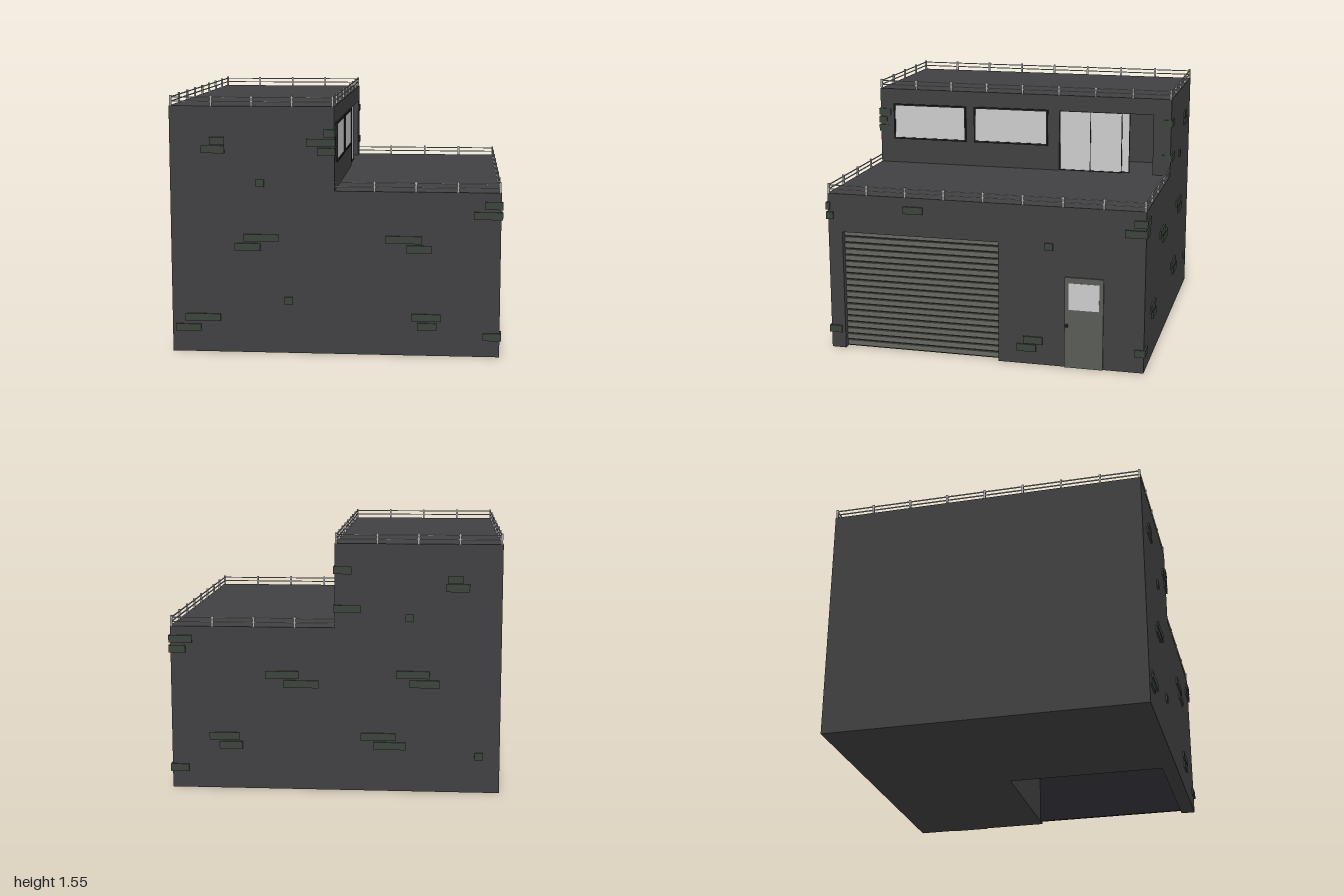
import * as THREE from 'three';

const mat = (color) => new THREE.MeshStandardMaterial({ color });
const M = {
  wall: mat(0x404042), brick: mat(0x3c443c), slat: mat(0x65675f), door: mat(0x595b57),
  dark: mat(0x202024), glass: mat(0xcccccc), rail: mat(0xaaaaaa),
};
const D = 0.985; // half depth of the building
const WX = 0.97, UX = -0.015; // right faces of the lower and upper storeys

// Box given by its min and max on each axis
function box(parent, name, m, x0, x1, y0, y1, z0, z1) {
  const mesh = new THREE.Mesh(new THREE.BoxGeometry(x1 - x0, y1 - y0, z1 - z0), m);
  mesh.position.set((x0 + x1) / 2, (y0 + y1) / 2, (z0 + z1) / 2);
  mesh.name = name;
  parent.add(mesh);
  return mesh;
}

// Storey with a notch cut in from its +x side, closed by a solid slab above the notch
function storey(parent, name, xMax, y0, yNotch, y1, notchX, zA, zB) {
  const plan = [[-1, D], [xMax, D], [xMax, zB], [notchX, zB], [notchX, zA], [xMax, zA], [xMax, -D], [-1, -D]];
  const shape = new THREE.Shape(plan.map(([x, z]) => new THREE.Vector2(x, -z)));
  const geo = new THREE.ExtrudeGeometry(shape, { depth: yNotch - y0, bevelEnabled: false });
  geo.rotateX(-Math.PI / 2).translate(0, y0, 0);
  const mesh = new THREE.Mesh(geo, M.wall);
  mesh.name = name + 'Walls';
  parent.add(mesh);
  box(parent, name + 'Roof', M.wall, -1, xMax, yNotch, y1, -D, D);
}

// Straight railing with posts and two bars
function railing(parent, name, x0, z0, x1, z1, base, bays) {
  const g = new THREE.Group();
  g.name = name;
  for (let i = 0; i <= bays; i++) {
    const x = x0 + (x1 - x0) * i / bays, z = z0 + (z1 - z0) * i / bays;
    box(g, 'post', M.rail, x - 0.006, x + 0.006, base, base + 0.062, z - 0.006, z + 0.006);
  }
  const r = 0.003;
  for (const y of [base + 0.026, base + 0.051]) {
    box(g, 'bar', M.rail, Math.min(x0, x1) - r, Math.max(x0, x1) + r, y - r, y + r,
      Math.min(z0, z1) - r, Math.max(z0, z1) + r);
  }
  parent.add(g);
}

// Rectangular frame with a pane, lying in the plane of the +x wall
function pane(parent, name, x0, x1, y0, y1, z0, z1, t) {
  const g = new THREE.Group();
  g.name = name;
  box(g, 'frameTop', M.dark, x0, x1, y1 - t, y1, z0, z1);
  box(g, 'frameBottom', M.dark, x0, x1, y0, y0 + t, z0, z1);
  box(g, 'frameBackSide', M.dark, x0, x1, y0, y1, z0, z0 + t);
  box(g, 'frameFrontSide', M.dark, x0, x1, y0, y1, z1 - t, z1);
  box(g, 'glass', M.glass, x0, x1 - 0.006, y0 + t, y1 - t, z0 + t, z1 - t);
  parent.add(g);
}

export function createModel() {
  const model = new THREE.Group();
  model.name = 'building';

  // Lower storey with an open garage bay, upper storey with a doorway recess
  storey(model, 'lower', WX, 0, 0.75, 0.99, 0.06, -0.095, 0.895);
  storey(model, 'upper', UX, 0.99, 1.385, 1.49, -0.4, -0.87, -0.25);

  // Roller door of horizontal slats
  const roller = new THREE.Group();
  roller.name = 'garageDoor';
  box(roller, 'backing', M.dark, 0.905, 0.92, 0, 0.75, -0.095, 0.895);
  const n = 19, step = 0.75 / n;
  for (let i = 0; i < n; i++) {
    box(roller, 'slat', M.slat, 0.915, 0.932, i * step + 0.008, (i + 1) * step - 0.001, -0.095, 0.895);
  }
  model.add(roller);

  // Entrance door with window and knob
  const entry = new THREE.Group();
  entry.name = 'entranceDoor';
  box(entry, 'leaf', M.door, WX - 0.01, 0.98, 0, 0.565, -0.74, -0.505);
  box(entry, 'window', M.glass, WX, 0.982, 0.365, 0.53, -0.715, -0.53);
  const stem = new THREE.Mesh(new THREE.CylinderGeometry(0.005, 0.005, 0.016, 10), M.dark);
  stem.rotation.z = Math.PI / 2;
  stem.position.set(0.985, 0.268, -0.52);
  stem.name = 'knobStem';
  const knob = new THREE.Mesh(new THREE.SphereGeometry(0.011, 14, 10), M.dark);
  knob.scale.x = 0.7;
  knob.position.set(0.992, 0.268, -0.52);
  knob.name = 'knob';
  entry.add(stem, knob);
  model.add(entry);

  // Upper windows and sliding glass panels
  pane(model, 'frontWindow', UX - 0.01, -0.003, 1.152, 1.39, 0.385, 0.89, 0.011);
  pane(model, 'backWindow', UX - 0.01, -0.003, 1.152, 1.39, -0.175, 0.33, 0.011);
  pane(model, 'fixedPanel', -0.04, -0.028, 0.99, 1.385, -0.457, -0.25, 0.004);
  pane(model, 'middlePanel', -0.04, -0.028, 0.99, 1.385, -0.664, -0.453, 0.004);
  pane(model, 'slidPanel', -0.058, -0.046, 0.99, 1.385, -0.712, -0.5, 0.004);

  // Roof railings
  const e = 0.978;
  for (const s of [1, -1]) {
    const side = s > 0 ? 'front' : 'back';
    railing(model, side + 'UpperRailing', -0.99, s * e, -0.025, s * e, 1.49, 4);
    railing(model, side + 'LowerRailing', -0.025, s * e, 0.962, s * e, 0.99, 4);
  }
  railing(model, 'outerUpperRailing', -0.99, e, -0.99, -e, 1.49, 8);
  railing(model, 'innerUpperRailing', -0.025, e, -0.025, -e, 1.49, 8);
  railing(model, 'lowerSideRailing', 0.962, e, 0.962, -e, 0.99, 8);

  // Raised bricks: [start, end, bottom] along each wall
  const bricks = new THREE.Group();
  bricks.name = 'bricks';
  const H = 0.045, P = 0.01;
  const front = [
    [-0.76, -0.67, 1.26], [-0.81, -0.67, 1.21], [-0.18, UX, 1.255], [-0.115, UX, 1.2],
    [-0.08, UX, 1.31], [-0.485, -0.435, 1.01], [-0.56, -0.35, 0.68], [-0.615, -0.46, 0.625],
    [0.29, 0.505, 0.68], [0.415, 0.565, 0.625], [0.875, WX, 0.89], [0.81, WX, 0.83],
    [-0.315, -0.265, 0.3], [-0.92, -0.705, 0.19], [-0.98, -0.825, 0.125],
    [0.445, 0.62, 0.21], [0.48, 0.595, 0.155], [0.87, WX, 0.1],
  ];
  const back = [
    [-0.77, -0.68, 1.26], [-0.81, -0.67, 1.21], [-0.485, -0.435, 1.03], [-0.115, UX, 1.31],
    [-0.17, UX, 1.08], [-0.58, -0.38, 0.69], [-0.64, -0.46, 0.635], [0.2, 0.4, 0.68], [0.08, 0.29, 0.625],
    [-0.38, -0.17, 0.31], [-0.44, -0.25, 0.255], [0.56, 0.74, 0.3], [0.54, 0.68, 0.245],
    [-0.9, -0.85, 0.2], [0.84, WX, 0.89], [0.88, WX, 0.83], [0.87, WX, 0.1],
  ];
  for (const [a, b, y] of front) box(bricks, 'frontBrick', M.brick, a, b, y, y + H, D - P, D + P);
  for (const [a, b, y] of back) box(bricks, 'backBrick', M.brick, a, b, y, y + H, -D - P, -D + P);
  const E = D + P; // corner bricks wrap round to the side wall
  const side = [
    [0.375, 0.5, 0.89], [-0.43, -0.38, 0.72], [-0.37, -0.25, 0.13], [-0.33, -0.21, 0.08],
    [-E, -0.915, 0.89], [-E, -0.86, 0.83], [-E, -0.93, 0.1], [0.95, E, 0.83], [0.97, E, 0.89], [0.915, E, 0.1],
  ];
  const upper = [
    [0.915, E, 1.31], [0.94, E, 1.255], [0.93, E, 1.2], [-E, -0.915, 1.31], [-E, -0.93, 1.08],
  ];
  for (const [a, b, y] of side) box(bricks, 'sideBrick', M.brick, WX - P, WX + P, y, y + H, a, b);
  for (const [a, b, y] of upper) box(bricks, 'upperBrick', M.brick, UX - P, UX + P * 0.6, y, y + H, a, b);
  model.add(bricks);

  return model;
}
